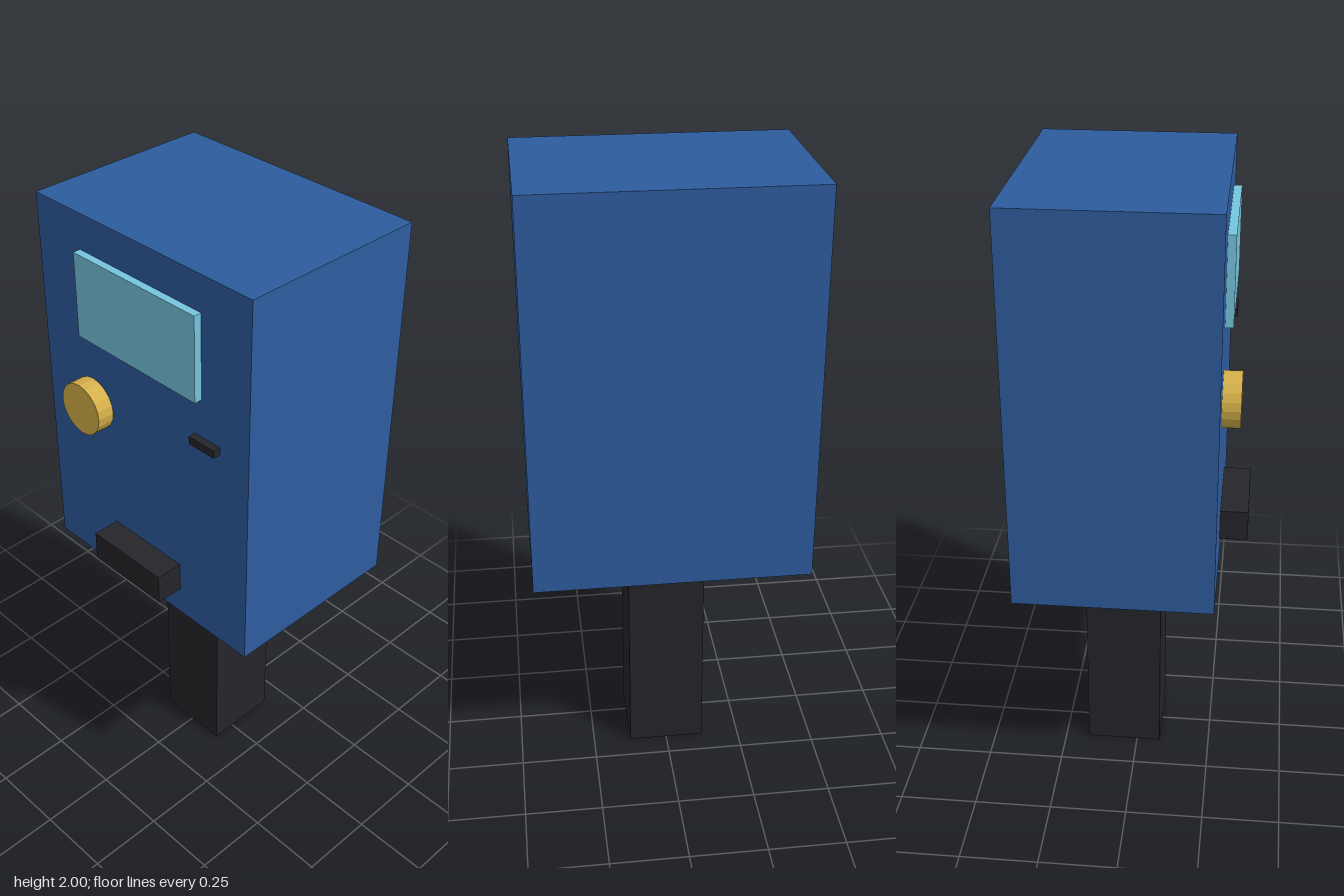
import * as THREE from 'three';

const paint = (color) => new THREE.MeshStandardMaterial({ color, flatShading: true });

export function createModel() {
  const group = new THREE.Group();
  const blue = paint(0x2e5c9e);
  const dark = paint(0x25252a);
  const glass = paint(0x76c5de);
  const gold = paint(0xd4b04a);

  const add = (name, geometry, material, x, y, z) => {
    const mesh = new THREE.Mesh(geometry, material);
    mesh.name = name;
    mesh.position.set(x, y, z);
    group.add(mesh);
    return mesh;
  };
  const box = (name, material, w, h, d, x, y, z) =>
    add(name, new THREE.BoxGeometry(w, h, d), material, x, y, z);

  // Post and cabinet
  box('post', dark, 0.249, 0.755, 0.249, 0, 0.3775, -0.045);
  box('cabinet', blue, 0.873, 1.245, 0.624, 0, 1.3775, -0.045);

  // Front fittings, slightly sunk into the cabinet
  box('displayScreen', glass, 0.498, 0.274, 0.05, 0, 1.749, 0.267);
  box('coinSlot', dark, 0.1, 0.025, 0.05, 0.273, 1.476, 0.267);
  box('ticketTray', dark, 0.299, 0.1, 0.125, 0, 0.902, 0.2945);

  // Round knob facing forward
  const knob = new THREE.CylinderGeometry(0.086, 0.086, 0.075, 20).rotateX(Math.PI / 2);
  add('knob', knob, gold, -0.225, 1.377, 0.286);

  return group;
}
